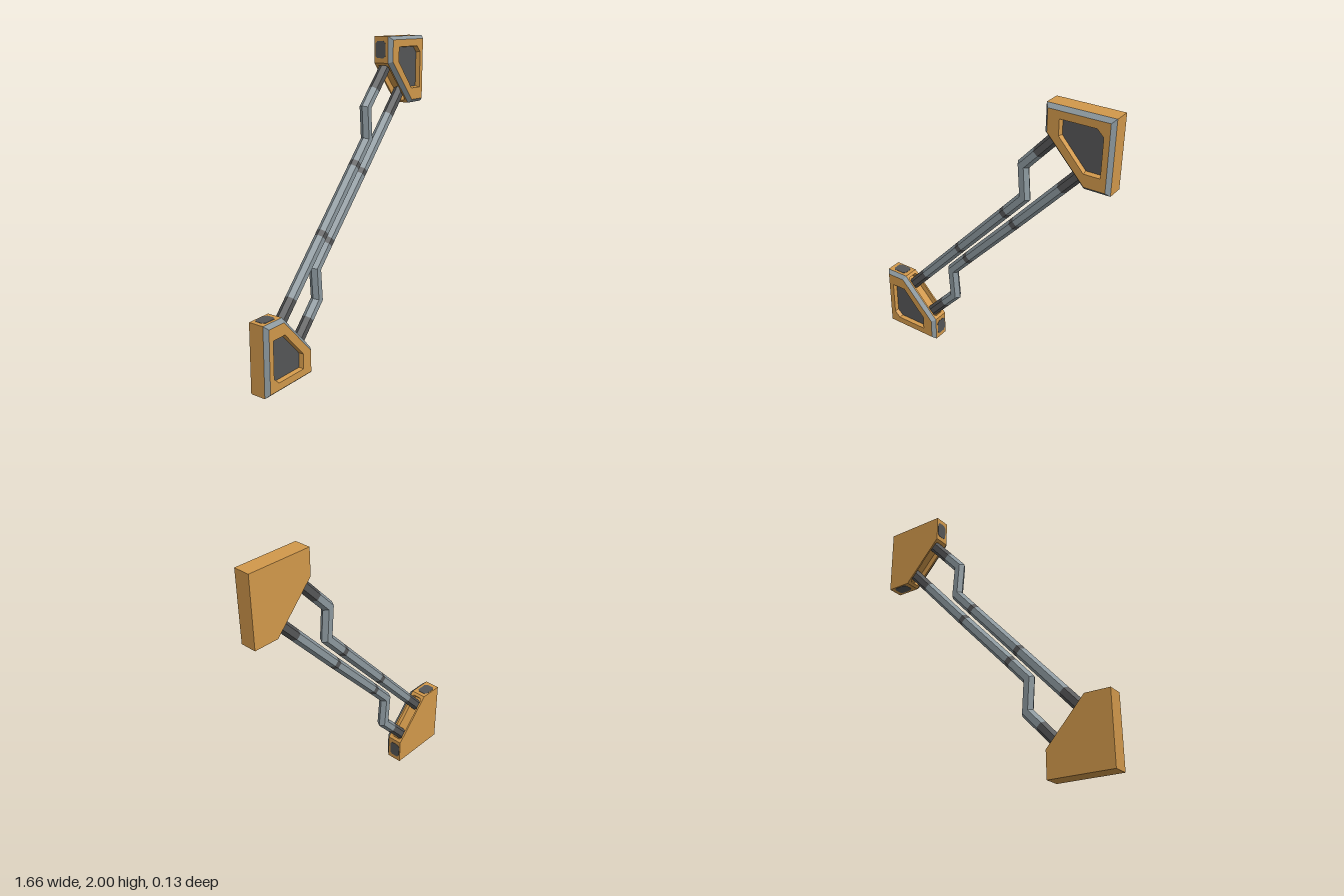
import * as THREE from 'three';

const mat = (name, color) => Object.assign(new THREE.MeshStandardMaterial({ color }), { name });
const orange = mat('orange paint', 0xd1984b);
const steel = mat('steel grey', 0x8b979d);
const dark = mat('dark grey', 0x555657);

const V = (x, y, z = 0) => new THREE.Vector3(x, y, z);
const loopAt = (pts, z) => pts.map(([x, y]) => V(x, y, z));
const shapeOf = (pts) => new THREE.Shape(pts.map(([x, y]) => new THREE.Vector2(x, y)));

function add(parent, name, geometry, material) {
  const mesh = new THREE.Mesh(geometry, material);
  mesh.name = name;
  parent.add(mesh);
  return mesh;
}

// Flat quads joining two matching closed loops, optionally leaving one side open
function strip(a, b, skip = -1) {
  const pos = [];
  a.forEach((p, i) => {
    if (i === skip) return;
    const j = (i + 1) % a.length;
    for (const v of [p, a[j], b[j], p, b[j], b[i]]) pos.push(v.x, v.y, v.z);
  });
  const g = new THREE.BufferGeometry();
  g.setAttribute('position', new THREE.Float32BufferAttribute(pos, 3));
  g.computeVertexNormals();
  return g;
}

// Rectangle with cut corners
function cutRect(w, h, c) {
  return [[-w + c, -h], [w - c, -h], [w, -h + c], [w, h - c],
    [w - c, h], [-w + c, h], [-w, h - c], [-w, -h + c]];
}

// Face in local XY with a tapered pocket sunk along -z
function pocketPanel(name, outline, rim, depth, taper, floorMaterial) {
  const group = new THREE.Group();
  group.name = name;
  const n = rim.length;
  const cx = rim.reduce((s, p) => s + p[0], 0) / n;
  const cy = rim.reduce((s, p) => s + p[1], 0) / n;
  const floor = rim.map(([x, y]) => [cx + (x - cx) * taper, cy + (y - cy) * taper]);
  const face = shapeOf(outline);
  face.holes.push(shapeOf(rim));
  add(group, name + ' face', new THREE.ShapeGeometry(face), orange);
  add(group, name + ' walls', strip(loopAt(rim, 0), loopAt(floor, -depth)), orange);
  add(group, name + ' floor', new THREE.ShapeGeometry(shapeOf(floor)), floorMaterial).position.z = -depth;
  return group;
}

// Place an object so its local z follows the normal and its local y points to the back
function place(object, position, normal) {
  const y = V(0, 0, -1);
  const x = y.clone().cross(normal);
  object.quaternion.setFromRotationMatrix(new THREE.Matrix4().makeBasis(x, y, normal));
  object.position.copy(position);
}

function makeBracket(name) {
  const bracket = new THREE.Group();
  bracket.name = name;
  const back = -0.065, edge = 0.04, front = 0.065, mid = (back + edge) / 2;
  const outline = [[-0.832, 0], [-0.415, 0], [-0.415, 0.17], [-0.67, 0.445], [-0.832, 0.445]];
  const inset = [[-0.81, 0.022], [-0.437, 0.022], [-0.437, 0.161], [-0.68, 0.423], [-0.81, 0.423]];

  // Housing, open on the slanted side
  add(bracket, 'housing sides', strip(loopAt(outline, back), loopAt(outline, edge), 2), orange);
  const rear = add(bracket, 'housing back', new THREE.ShapeGeometry(shapeOf(outline.map(([x, y]) => [-x, y]))), orange);
  rear.rotation.y = Math.PI;
  rear.position.z = back;
  add(bracket, 'bevel trim', strip(loopAt(outline, edge), loopAt(inset, front)), steel);

  // Front face with its dark pocket
  const rim = [[-0.735, 0.068], [-0.51, 0.068], [-0.51, 0.165], [-0.673, 0.345], [-0.775, 0.345], [-0.775, 0.108]];
  const panel = pocketPanel('front panel', inset, rim, 0.03, 0.96, dark);
  panel.position.z = front;
  bracket.add(panel);

  // Slanted socket that receives the pipes
  const a = V(-0.67, 0.445), b = V(-0.415, 0.17);
  const half = a.distanceTo(b) / 2, h = (edge - back) / 2;
  const along = b.clone().sub(a).normalize();
  const normal = V(-along.y, along.x);
  const socket = pocketPanel('pipe socket', cutRect(half, h, 0), cutRect(half - 0.022, 0.041, 0.014), 0.04, 0.99, orange);
  place(socket, V((a.x + b.x) / 2, (a.y + b.y) / 2, mid), normal);
  bracket.add(socket);

  // Inlay plates on the two short ends
  const ends = [[V(-0.751, 0.445, mid - 0.005), V(0, 1), 0.052], [V(-0.415, 0.085, mid - 0.005), V(1, 0), 0.054]];
  for (const [position, dir, w] of ends) {
    const g = new THREE.ExtrudeGeometry(shapeOf(cutRect(w, 0.039, 0.015)), { depth: 0.002, bevelEnabled: false });
    place(add(bracket, 'end inlay', g, dark), position, dir);
  }
  return bracket;
}

// Six-sided pipe with mitred bends; each path entry is [x, y, material of the next piece]
function makePipe(name, path) {
  const pipe = new THREE.Group();
  pipe.name = name;
  const pts = path.map(([x, y]) => V(x, y));
  const dirs = pts.slice(1).map((p, i) => p.clone().sub(pts[i]).normalize());
  const rings = pts.map((p, i) => {
    const d0 = dirs[Math.max(i - 1, 0)], d1 = dirs[Math.min(i, dirs.length - 1)];
    const d = d0.clone().add(d1).normalize();
    const r = 0.037, m = V(-d.y, d.x).multiplyScalar(r / d.dot(d0));
    return Array.from({ length: 6 }, (_, k) => {
      const t = k * Math.PI / 3;
      return p.clone().addScaledVector(m, Math.cos(t)).add(V(0, 0, -0.016 + r * Math.sin(t)));
    });
  });
  dirs.forEach((_, i) => {
    const material = path[i][2];
    add(pipe, material === dark ? 'pipe collar' : 'pipe section', strip(rings[i], rings[i + 1]), material);
  });
  return pipe;
}

// Dark band centred on a point of the straight run
const bandAt = (x, y, s) => [
  [x - 0.0135 * s, y - 0.0147 * s, dark],
  [x + 0.0135 * s, y + 0.0147 * s, steel],
];

export function createModel() {
  const model = new THREE.Group();
  model.name = 'piped brace';

  // Matching brackets, one turned half round
  model.add(makeBracket('lowerBracket'));
  const upper = makeBracket('upperBracket');
  upper.rotation.z = Math.PI;
  upper.position.y = 2;
  model.add(upper);

  model.add(makePipe('upperPipe', [
    [-0.656, 0.351, dark], [-0.52, 0.4997, steel],
    ...bandAt(-0.222, 0.825, 1), ...bandAt(0.127, 1.206, 1),
    [0.261, 1.353, steel], [0.245, 1.56, steel], [0.34, 1.663, dark], [0.5, 1.837],
  ]));
  model.add(makePipe('lowerPipe', [
    [0.656, 1.65, dark], [0.505, 1.485, steel],
    ...bandAt(0.196, 1.148, -1), ...bandAt(-0.159, 0.767, -1),
    [-0.288, 0.626, steel], [-0.273, 0.423, steel], [-0.363, 0.325, dark], [-0.505, 0.17],
  ]));
  return model;
}
